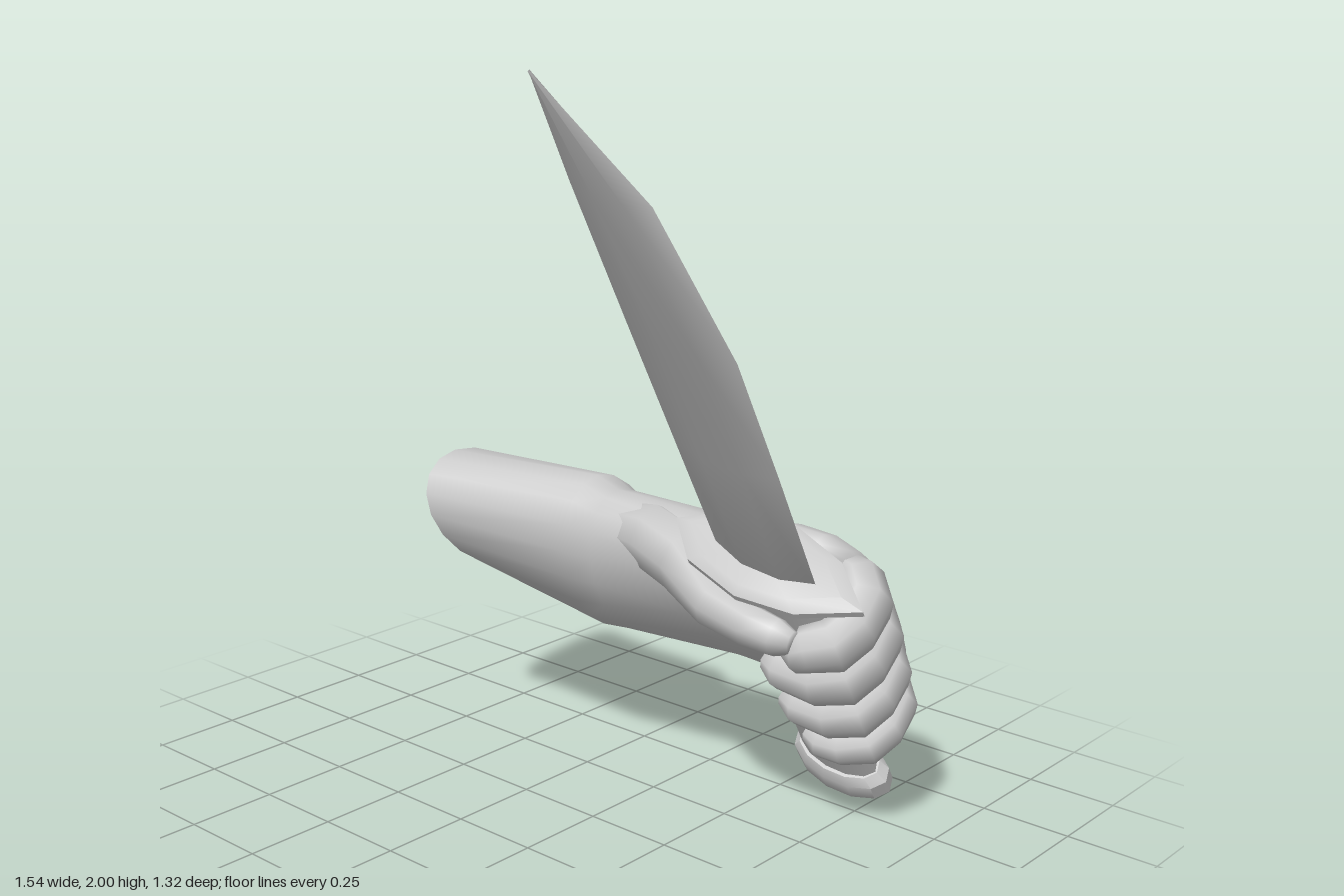
import * as THREE from 'three';
import { toCreasedNormals } from 'three/addons/utils/BufferGeometryUtils.js';

const material = new THREE.MeshStandardMaterial({ color: 0xcccccc, side: THREE.DoubleSide });
const V = (x, y, z) => new THREE.Vector3(x, y, z);

function part(name, geometry, crease) {
  const mesh = new THREE.Mesh(crease ? toCreasedNormals(geometry, crease) : geometry, material);
  mesh.name = name;
  return mesh;
}

// Skin a list of rings (arrays of Vector3, counter-clockwise about the path)
function loft(rings, capStart, capEnd) {
  const n = rings[0].length, pos = [], index = [];
  rings.forEach(ring => ring.forEach(p => pos.push(p.x, p.y, p.z)));
  for (let r = 0; r < rings.length - 1; r++) {
    for (let i = 0; i < n; i++) {
      const a = r * n + i, b = r * n + (i + 1) % n;
      index.push(a, b, a + n, b, b + n, a + n);
    }
  }
  const cap = (r, flip) => {
    const c = V(0, 0, 0);
    rings[r].forEach(p => c.addScaledVector(p, 1 / n));
    const k = pos.length / 3;
    pos.push(c.x, c.y, c.z);
    for (let i = 0; i < n; i++) {
      const a = r * n + i, b = r * n + (i + 1) % n;
      flip ? index.push(k, b, a) : index.push(k, a, b);
    }
  };
  if (capStart) cap(0, true);
  if (capEnd) cap(rings.length - 1, false);
  const g = new THREE.BufferGeometry();
  g.setAttribute('position', new THREE.Float32BufferAttribute(pos, 3));
  g.setIndex(index);
  g.computeVertexNormals();
  return g;
}

// Tapered round limb through the points: radius across the path, tall scales it vertically
function limb(points, radii, tall, sides = 8) {
  const up = V(0, 1, 0);
  const rings = points.map((p, k) => {
    const t = points[Math.min(k + 1, points.length - 1)].clone()
      .sub(points[Math.max(k - 1, 0)]).normalize();
    const s = t.clone().cross(up).normalize();
    const v = s.clone().cross(t);
    return Array.from({ length: sides }, (_, i) => {
      const a = (i / sides) * Math.PI * 2;
      return p.clone().addScaledVector(v, Math.cos(a) * radii[k] * tall)
        .addScaledVector(s, Math.sin(a) * radii[k]);
    });
  });
  return loft(rings, true, true);
}

// Forearm, wrist and back of the hand: x, yMin, yMax, zMin, zMax, lean in degrees
function armGeometry() {
  const sections = [
    [-0.735, 0.45, 0.84, -0.60, -0.08, 64],
    [-0.24, 0.39, 0.845, -0.52, -0.14, 76],
    [-0.15, 0.40, 0.825, -0.475, -0.155, 72],
    [0.14, 0.355, 0.825, -0.62, -0.14, 54],
    [0.30, 0.31, 0.825, -0.65, -0.18, 45],
    [0.42, 0.30, 0.845, -0.665, -0.21, 41],
    [0.52, 0.31, 0.83, -0.65, -0.24, 40],
    [0.575, 0.34, 0.79, -0.61, -0.29, 40],
    [0.605, 0.41, 0.72, -0.55, -0.35, 40],
  ];
  const sides = 18;
  const rings = sections.map(([x, y0, y1, z0, z1, lean], k) =>
    Array.from({ length: sides }, (_, i) => {
      const a = (i / sides) * Math.PI * 2;
      const dy = Math.cos(a) * (y1 - y0) / 2;
      const dz = Math.cos(a - lean * Math.PI / 180) * (z1 - z0) / 2;
      // the open cuff is cut at a slant
      const slant = k === 0 ? 0.11 * dz - 0.14 * dy : 0;
      return V(x + slant, (y0 + y1) / 2 + dy, (z0 + z1) / 2 + dz);
    }));
  return loft(rings, false, true);
}

// Blade: height, cutting edge position, half thickness
function bladeGeometry() {
  const spine = -0.15;
  const stations = [[0, 0.17, 0.042], [0.4, 0.18, 0.038], [0.762, 0.182, 0.034],
    [1.165, 0.092, 0.026], [1.445, -0.15, 0.003]];
  const rings = stations.map(([y, edge, t]) => {
    const w = edge - spine;
    const half = [[0, 0.4], [0.35, 1], [0.72, 0.8]];
    return [
      ...half.map(([f, k]) => V(spine + w * f, y, t * k)),
      V(edge, y, 0),
      ...half.slice().reverse().map(([f, k]) => V(spine + w * f, y, -t * k)),
    ];
  });
  return loft(rings, true, true);
}

// Knife in its own frame: y along the blade, x across its width, z its flat
function createKnife() {
  const knife = new THREE.Group();
  knife.name = 'knife';
  knife.add(part('blade', bladeGeometry()));

  // Guard: pointed oval plate, thinner toward its rim
  const outline = [[0.315, 0], [0.17, 0.09], [0, 0.12], [-0.19, 0.09],
    [-0.315, 0], [-0.19, -0.095], [0, -0.13], [0.17, -0.095]];
  const guardRings = [[-0.022, 0.88], [-0.008, 1], [0.008, 1], [0.026, 0.8]].map(([y, s]) =>
    outline.map(([x, z]) => V(x * s, y, z * s)).reverse());
  knife.add(part('guard', loft(guardRings, true, true), 0.7));

  const turned = (name, profile, flat) => {
    const g = new THREE.LatheGeometry(profile.map(([r, y]) => new THREE.Vector2(r, y)), 12);
    g.scale(1, 1, flat);
    knife.add(part(name, g, 0.7));
  };
  turned('handle', [[0.13, -0.82], [0.125, -0.45], [0.13, 0]], 0.44);
  turned('pommel', [[0, -0.91], [0.11, -0.895], [0.16, -0.855], [0.16, -0.81],
    [0.135, -0.785], [0, -0.785]], 0.5);
  return knife;
}

// Fingers curl round the handle, so they share the knife's frame
function createFingers() {
  const fingers = new THREE.Group();
  fingers.name = 'fingers';
  const curl = [[0.03, -0.17], [0.11, -0.15], [0.165, -0.105], [0.19, -0.03],
    [0.18, 0.035], [0.125, 0.08], [0.05, 0.095], [0.0, 0.09]];
  const radii = [0.05, 0.072, 0.075, 0.066, 0.066, 0.057, 0.05, 0.028];
  // name, height, sideways shift, thickness, how much the tip is drawn back
  const specs = [['indexFinger', -0.155, 0.02, 1, 0.07], ['middleFinger', -0.29, 0.015, 1.02, -0.03],
    ['ringFinger', -0.44, 0.01, 0.93, -0.015], ['littleFinger', -0.575, 0.01, 0.76, 0.02]];
  for (const [name, y, shift, size, short] of specs) {
    const points = curl.map(([x, z], i) => V(x + shift + (i > 5 ? short : 0), y, z));
    fingers.add(part(name, limb(points, radii.map(r => r * size), 1.08)));
  }
  return fingers;
}

export function createModel() {
  const model = new THREE.Group();
  model.name = 'handHoldingKnife';
  model.add(part('armAndPalm', armGeometry()));

  // Thumb laid along the front of the grip, growing out of the wrist
  model.add(part('thumb', limb(
    [V(-0.15, 0.73, -0.25), V(0.03, 0.735, -0.215), V(0.18, 0.715, -0.17), V(0.32, 0.645, -0.11),
      V(0.45, 0.625, -0.085), V(0.53, 0.615, -0.085), V(0.575, 0.61, -0.09)],
    [0.06, 0.085, 0.088, 0.062, 0.052, 0.046, 0.028], 1.1)));

  // Tilted grip frame
  const grip = new THREE.Group();
  grip.name = 'grip';
  const along = V(0.076, 0.831, 0.551).normalize();
  const across = V(0.985, -0.143, 0.095);
  const flat = across.clone().cross(along).normalize();
  across.copy(along).cross(flat);
  grip.quaternion.setFromRotationMatrix(new THREE.Matrix4().makeBasis(across, along, flat));
  grip.position.set(0.46, 0.775, -0.13);
  grip.add(createKnife(), createFingers());
  model.add(grip);
  return model;
}
